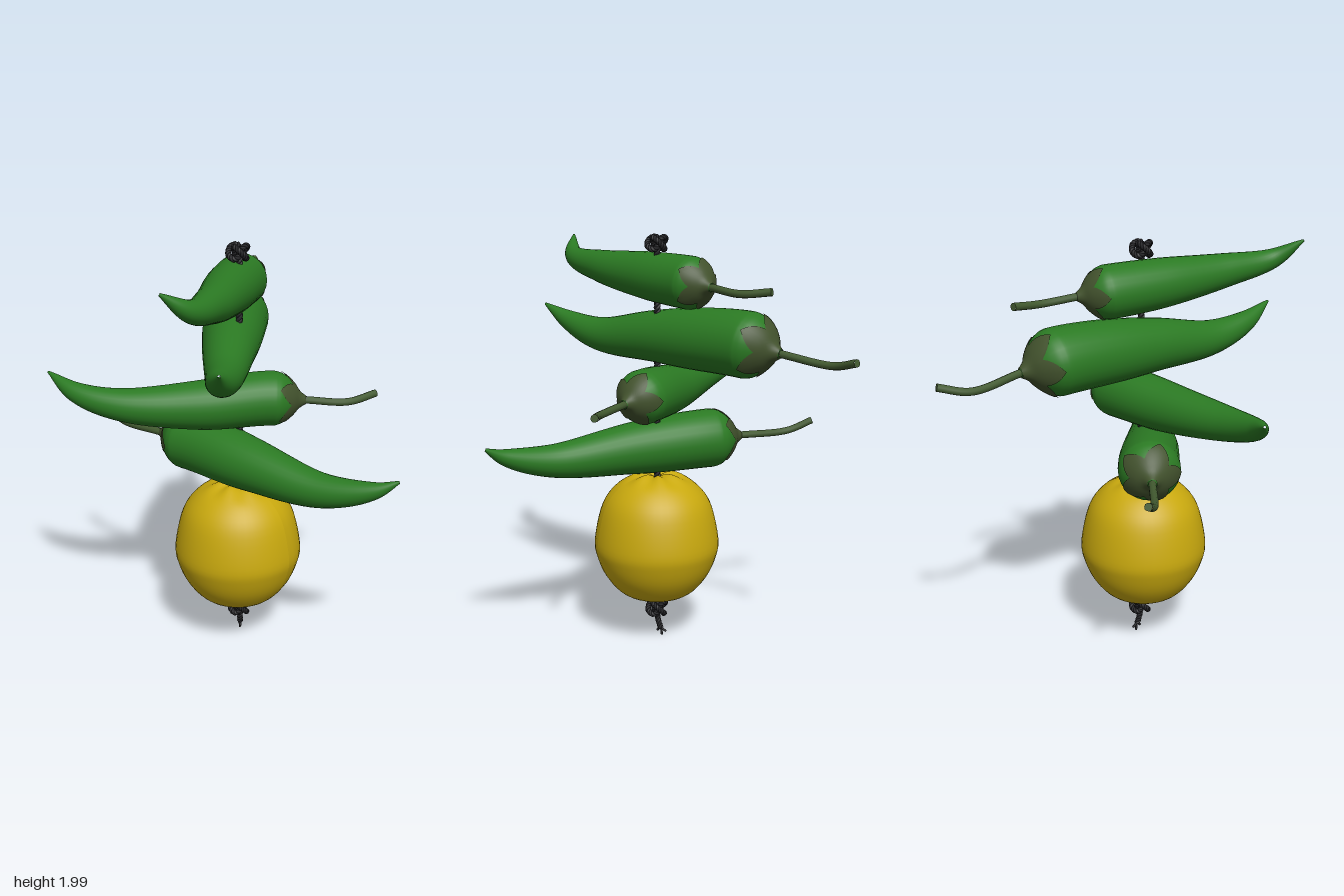
import * as THREE from 'three';

const mat = (name, color, side = THREE.FrontSide) => {
  const m = new THREE.MeshStandardMaterial({ color, side });
  m.name = name;
  return m;
};
const curveOf = points => new THREE.CatmullRomCurve3(points.map(p => new THREE.Vector3(...p)));
const profileOf = points => new THREE.SplineCurve(points.map(p => new THREE.Vector2(...p)));

// Closed-ring surface: fn(s, turn) gives a point; s runs along the part
function ringSurface(fn, rings, sides) {
  const pos = [], idx = [];
  for (let i = 0; i <= rings; i++)
    for (let j = 0; j < sides; j++) pos.push(...fn(i / rings, j / sides).toArray());
  for (let i = 0; i < rings; i++)
    for (let j = 0; j < sides; j++) {
      const a = i * sides + j, b = i * sides + (j + 1) % sides;
      idx.push(a, b, a + sides, b, b + sides, a + sides);
    }
  const g = new THREE.BufferGeometry();
  g.setAttribute('position', new THREE.Float32BufferAttribute(pos, 3));
  g.setIndex(idx);
  g.computeVertexNormals();
  return g;
}

// Shared pepper outline: fraction of the length from the tip, fraction of the full radius
const OUTLINE = profileOf([[0, .04], [.09, .27], [.18, .43], [.31, .59], [.47, .77], [.66, .94], [.85, 1],
  [.895, .97], [.925, .82], [.955, .55], [.977, .27], [1, .11]]);

// The spine runs from the tip to the neck, and the stem goes on from there
function makePepper(radius, spine, stem, mats) {
  const group = new THREE.Group();
  const centre = curveOf(spine);
  const up = new THREE.Vector3(0, 1, 0);

  const skin = (s, turn, lift) => {
    const { x, y } = OUTLINE.getPoint(s);
    const u = THREE.MathUtils.clamp(x, 0, 1);
    const tangent = centre.getTangentAt(u);
    const side = up.clone().cross(tangent).normalize();
    const top = tangent.clone().cross(side);
    const r = radius * y + lift, a = turn * Math.PI * 2;
    return centre.getPointAt(u).addScaledVector(side, r * Math.cos(a)).addScaledVector(top, r * Math.sin(a));
  };

  const body = new THREE.Mesh(ringSurface((s, turn) => skin(s, turn, 0), 66, 28), mats.pepper);
  body.name = 'pepperBody';

  // Five-pointed cap lying on the shoulder
  const cap = (s, turn) => {
    const lobe = Math.abs(((turn * 5) % 1) * 2 - 1);
    const start = .79 - .145 * lobe;
    return skin(start + (1 - start) * s, turn, .006);
  };
  const calyx = new THREE.Mesh(ringSurface(cap, 10, 50), mats.calyx);
  calyx.name = 'calyx';

  // Stem with a closed cut end
  const path = curveOf([spine[spine.length - 1], ...stem]);
  const stalk = new THREE.Mesh(new THREE.TubeGeometry(path, 24, .018, 10), mats.stem);
  stalk.name = 'stem';
  const end = new THREE.Mesh(new THREE.CircleGeometry(.018, 10), mats.stem);
  end.position.copy(path.getPoint(1));
  end.lookAt(path.getPoint(1).add(path.getTangent(1)));
  end.name = 'stemEnd';
  group.add(body, calyx, stalk, end);
  return group;
}

// Three twisted strands following a curve
function makeRope(curve, r, turns, steps, closed, material) {
  const group = new THREE.Group();
  const frames = curve.computeFrenetFrames(steps, closed);
  for (let k = 0; k < 3; k++) {
    const pts = [];
    for (let i = 0; i < (closed ? steps : steps + 1); i++) {
      const a = (i / steps * turns + k / 3) * Math.PI * 2;
      pts.push(curve.getPointAt(i / steps)
        .addScaledVector(frames.normals[i], r * Math.cos(a))
        .addScaledVector(frames.binormals[i], r * Math.sin(a)));
    }
    const path = new THREE.CatmullRomCurve3(pts, closed);
    const strand = new THREE.Mesh(new THREE.TubeGeometry(path, steps, r * .9, 6, closed), material);
    strand.name = 'strand';
    group.add(strand);
  }
  return group;
}

// Flat overhand knot: a trefoil of rope
function makeKnot(y, material) {
  const pts = [];
  for (let i = 0; i < 36; i++) {
    const a = i / 36 * Math.PI * 2, w = .031 + .015 * Math.cos(a * 3);
    pts.push(new THREE.Vector3(w * Math.cos(a * 2), .028 * Math.sin(a * 3), w * Math.sin(a * 2)));
  }
  const knot = makeRope(new THREE.CatmullRomCurve3(pts, true), .008, 14, 150, true, material);
  knot.position.set(-.063, y, -.004);
  return knot;
}

// Lemon with a puckered crown
function makeLemon(material) {
  const outline = profileOf([[0, .2], [.04, .19], [.17, .235], [.25, .32], [.295, .42], [.306, .51],
    [.268, .68], [.2, .775], [.11, .828], [.05, .835], [0, .815]]).getPoints(48);
  const geo = new THREE.LatheGeometry(outline, 48);
  const pos = geo.attributes.position;
  for (let i = 0; i < pos.count; i++) {
    const x = pos.getX(i), y = pos.getY(i), z = pos.getZ(i), r = Math.hypot(x, z);
    if (y > .75 && r < .18) pos.setY(i, y + .007 * Math.sin(7 * Math.atan2(z, x)) * Math.sin(r / .18 * Math.PI));
  }
  geo.computeVertexNormals();
  const lemon = new THREE.Mesh(geo, material);
  lemon.position.set(-.075, 0, -.005);
  return lemon;
}

export function createModel() {
  const model = new THREE.Group();
  const mats = {
    pepper: mat('pepper green', 0x2b7a23),
    calyx: mat('calyx olive', 0x42522d, THREE.DoubleSide),
    stem: mat('stem green', 0x425a30),
    lemon: mat('lemon yellow', 0xc9a90e),
    rope: mat('rope black', 0x252528),
  };
  const add = (part, name) => { part.name = name; model.add(part); };

  // Four peppers, stacked from the top down
  add(makePepper(.124,
    [[-.83, 1.955, .175], [-.69, 1.86, .215], [-.45, 1.82, .14], [-.15, 1.795, 0], [.1, 1.78, -.11], [.235, 1.77, -.155]],
    [[.4, 1.755, -.225], [.505, 1.77, -.33]], mats), 'topPepper');
  add(makePepper(.155,
    [[-.7, 1.617, .37], [-.58, 1.54, .275], [-.4, 1.49, .165], [-.1, 1.51, -.03], [.31, 1.515, -.29], [.48, 1.49, -.39]],
    [[.68, 1.458, -.545], [.82, 1.49, -.585]], mats), 'secondPepper');
  add(makePepper(.13,
    [[-.54, 1.367, -.77], [-.53, 1.295, -.6], [-.44, 1.25, -.41], [-.2, 1.235, -.14], [.03, 1.25, .085], [.145, 1.24, .235]],
    [[.27, 1.227, .39], [.41, 1.245, .46]], mats), 'thirdPepper');
  add(makePepper(.145,
    [[-.03, 1.04, .852], [-.07, .985, .75], [-.115, .936, .5], [-.115, .965, .1], [-.09, .99, -.25], [-.095, .99, -.46]],
    [[-.09, .995, -.72], [-.06, 1.045, -.84]], mats), 'lowestPepper');

  add(makeLemon(mats.lemon), 'lemon');

  // Cord through everything, with a knot at each end
  const cord = new THREE.LineCurve3(new THREE.Vector3(-.06, .13, -.003), new THREE.Vector3(-.06, 1.95, -.003));
  add(makeRope(cord, .009, 30, 300, false, mats.rope), 'cord');
  add(makeKnot(1.955, mats.rope), 'topKnot');
  add(makeKnot(.145, mats.rope), 'bottomKnot');

  // Loose tail with frayed ends
  const tail = curveOf([[-.063, .13, 0], [-.058, .085, -.006], [-.045, .04, -.015]]);
  add(makeRope(tail, .008, 2, 24, false, mats.rope), 'tail');
  for (const [x, y, z] of [[-.06, .025, -.002], [-.04, .006, -.02], [-.022, .026, -.036]]) {
    const fray = curveOf([[-.047, .05, -.014], [(x - .045) / 2, .035, (z - .015) / 2], [x, y, z]]);
    add(new THREE.Mesh(new THREE.TubeGeometry(fray, 8, .006, 6), mats.rope), 'frayedEnd');
  }
  return model;
}
